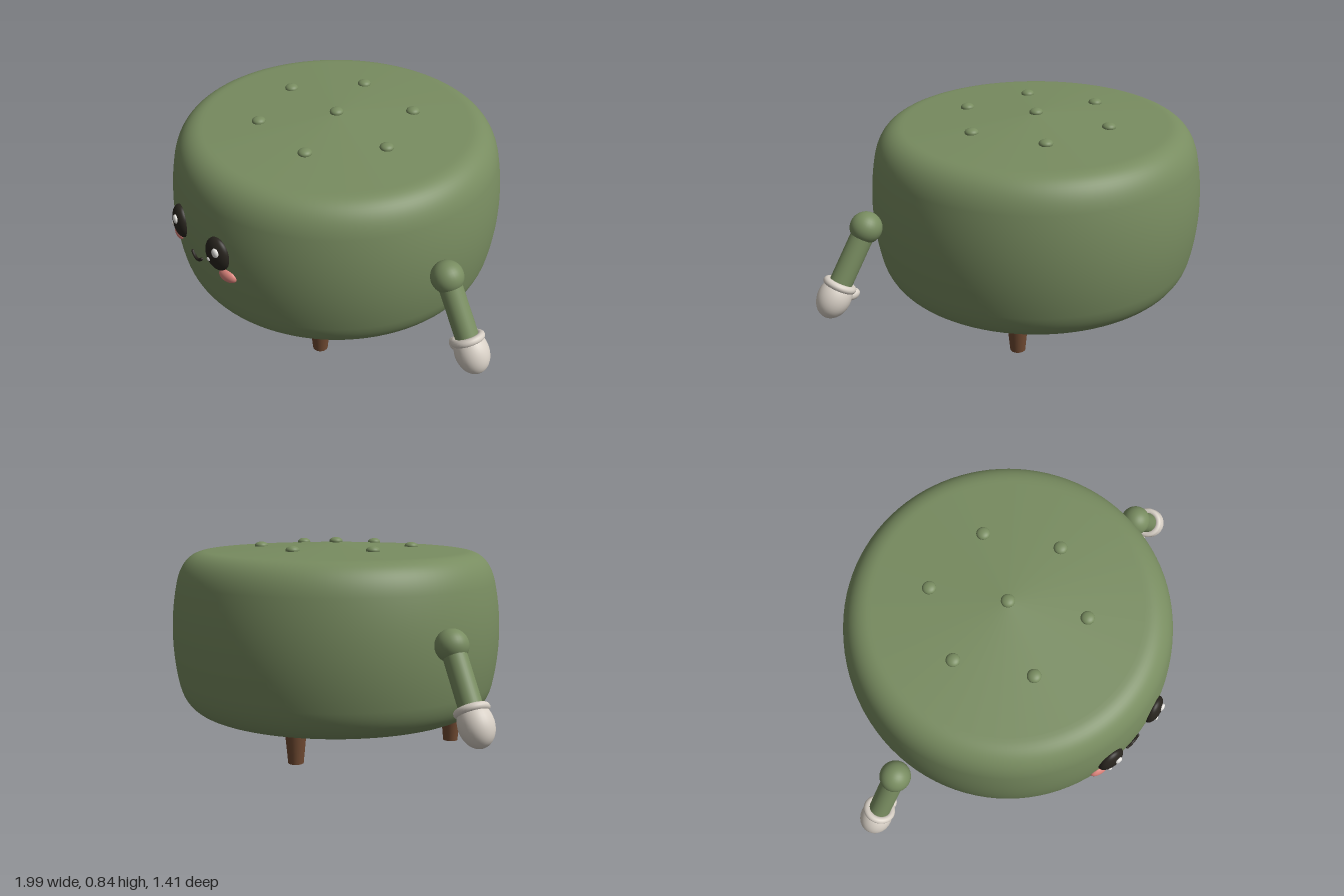
import * as THREE from 'three';

const mat = (name, color) => {
  const m = new THREE.MeshStandardMaterial({ color });
  m.name = name;
  return m;
};

export function createModel() {
  const green = mat('greenFabric', 0x788c60);
  const cream = mat('creamGlove', 0xd8d0c6);
  const wood = mat('brownWood', 0x704a32);
  const dark = mat('darkEye', 0x28241e);
  const pink = mat('pinkCheek', 0xdc847c);
  const white = mat('whiteHighlight', 0xf6f4f0);

  const model = new THREE.Group();
  model.name = 'pouf';
  const CZ = -0.015; // cushion centre
  const add = (parent, name, geometry, material, x = 0, y = 0, z = 0) => {
    const mesh = new THREE.Mesh(geometry, material);
    mesh.name = name;
    mesh.position.set(x, y, z);
    parent.add(mesh);
    return mesh;
  };
  const ball = (rx, ry, rz) => new THREE.SphereGeometry(1, 32, 20).scale(rx, ry, rz);

  // Cushion: bulging sides, rounded rims, shallow peaked top
  const profile = new THREE.Path();
  profile.moveTo(0, 0.115);
  profile.lineTo(0.54, 0.115);
  profile.bezierCurveTo(0.615, 0.115, 0.653, 0.17, 0.668, 0.24);
  profile.quadraticCurveTo(0.712, 0.45, 0.668, 0.66);
  profile.bezierCurveTo(0.653, 0.73, 0.615, 0.785, 0.54, 0.785);
  profile.lineTo(0, 0.82);
  add(model, 'cushion', new THREE.LatheGeometry(profile.getPoints(14), 96), green, 0, 0, CZ);

  // Tufting buttons: one in the middle, six around it
  const button = ball(0.028, 0.017, 0.028);
  add(model, 'centreButton', button, green, 0, 0.822, CZ);
  for (let i = 0; i < 6; i++) {
    const a = (i * Math.PI) / 3;
    add(model, 'button', button, green, 0.317 * Math.cos(a), 0.802, CZ + 0.317 * Math.sin(a));
  }

  // Tapered legs
  const leg = new THREE.CylinderGeometry(0.042, 0.03, 0.125, 24);
  for (const x of [-0.357, 0.357])
    for (const z of [-0.357, 0.357]) add(model, 'leg', leg, wood, x, 0.0625, CZ + z);

  // Face: eyes with highlights, and cheeks, turned to follow the cushion
  const onFace = (name, x, y, r) => {
    const g = new THREE.Group();
    g.name = name;
    g.position.set(x, y, CZ + Math.sqrt(r * r - x * x));
    g.rotation.y = Math.asin(x / r);
    model.add(g);
    return g;
  };
  for (const s of [-1, 1]) {
    const side = s > 0 ? 'left' : 'right';
    const eye = onFace(side + 'Eye', s * 0.138, 0.492, 0.688);
    add(eye, 'eyeball', ball(0.06, 0.073, 0.033), dark);
    add(eye, 'largeHighlight', ball(0.017, 0.02, 0.01), white, 0.016, 0.025, 0.028);
    add(eye, 'smallHighlight', ball(0.009, 0.009, 0.006), white, -0.022, -0.02, 0.029);
    const cheek = onFace(side + 'Cheek', s * 0.183, 0.408, 0.688);
    add(cheek, 'cheek', ball(0.043, 0.027, 0.02), pink);
  }

  // Smile
  const smile = new THREE.QuadraticBezierCurve3(
    new THREE.Vector3(-0.034, 0.411, 0.676),
    new THREE.Vector3(0, 0.374, 0.68),
    new THREE.Vector3(0.034, 0.411, 0.676)
  );
  add(model, 'smile', new THREE.TubeGeometry(smile, 20, 0.0065, 10), dark);
  for (const s of [-1, 1]) add(model, 'smileEnd', ball(0.0065, 0.0065, 0.0065), dark, s * 0.034, 0.411, 0.676);

  // Arms: local -y runs from the shoulder to the hand
  for (const s of [-1, 1]) {
    const arm = new THREE.Group();
    arm.name = s > 0 ? 'leftArm' : 'rightArm';
    arm.position.set(s * 0.765, 0.487, 0.06);
    arm.rotation.z = s * 0.555;
    model.add(arm);
    add(arm, 'shoulder', ball(0.063, 0.063, 0.063), green);
    add(arm, 'forearm', new THREE.CylinderGeometry(0.045, 0.045, 0.26, 32), green, 0, -0.13, 0);
    add(arm, 'cuff', new THREE.TorusGeometry(0.052, 0.015, 14, 40).rotateX(Math.PI / 2), cream, 0, -0.247, 0);
    add(arm, 'hand', ball(0.066, 0.086, 0.066), cream, 0, -0.3, 0);
    const thumb = add(model, 'thumb', ball(0.034, 0.023, 0.025), cream, s * 0.848, 0.217, 0.065);
    thumb.rotation.z = -s * 0.15;
  }
  return model;
}
